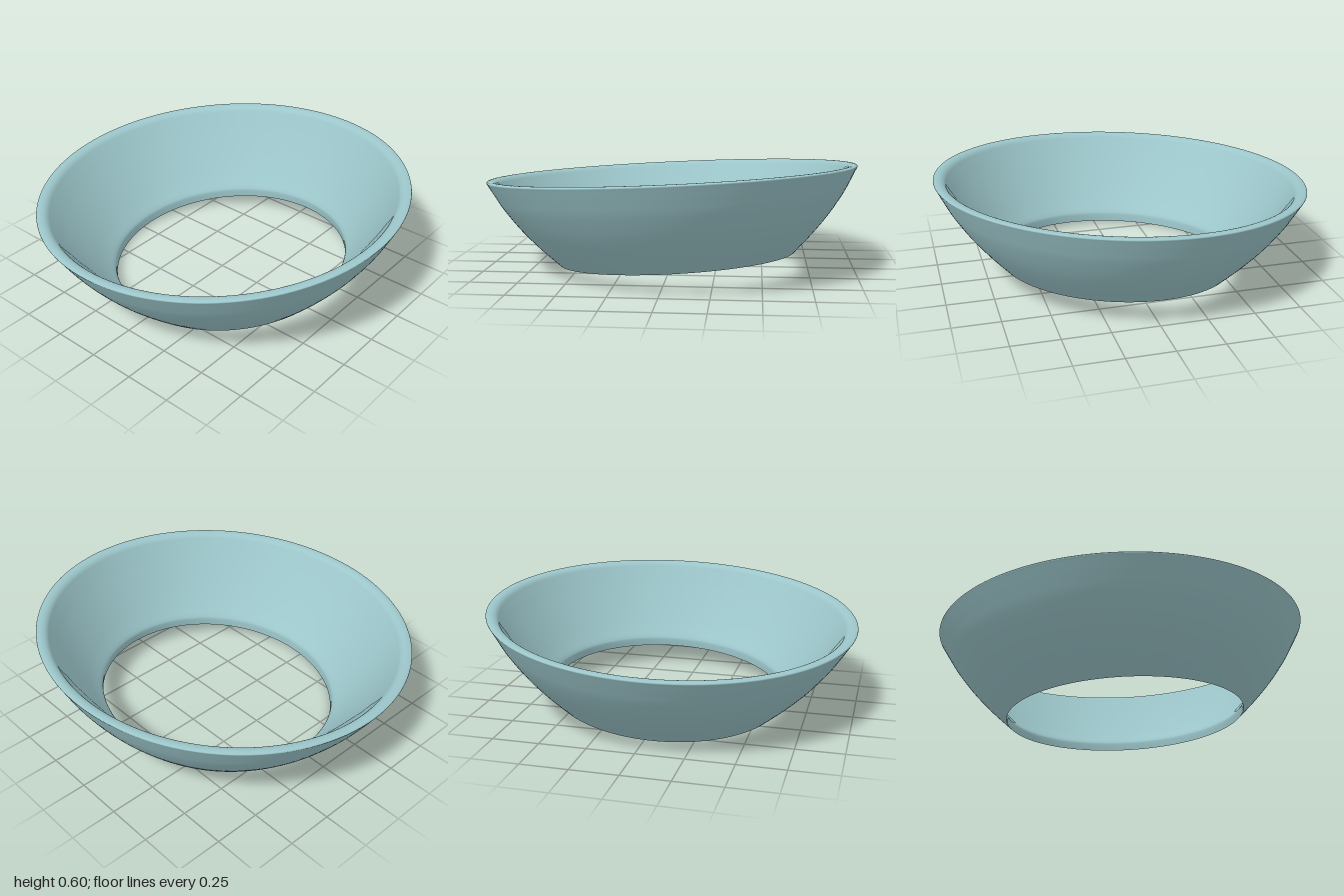
import * as THREE from 'three';
import { mergeVertices } from 'three/addons/utils/BufferGeometryUtils.js';

const HEIGHT = 0.469;

// Sample a smooth curve through a few [radius, height] points
function curve(points, count) {
  return new THREE.SplineCurve(points.map(([r, h]) => new THREE.Vector2(r, h))).getPoints(count);
}

// Revolve a profile, then lean it so the ring rises towards +x and +z
function leaningRing(profile) {
  let geometry = new THREE.LatheGeometry(profile, 128);
  geometry.deleteAttribute('uv');
  geometry.deleteAttribute('normal');
  geometry = mergeVertices(geometry, 1e-5);
  const p = geometry.attributes.position;
  for (let i = 0; i < p.count; i++) {
    const x = p.getX(i), h = p.getY(i), z = p.getZ(i);
    const t = h / HEIGHT;
    const slope = THREE.MathUtils.lerp(0.066, 0.051, t);
    const shift = 0.034 * (1 - t);
    p.setXYZ(i, x + shift, 0.06 + h + slope * (x + z), z + shift);
  }
  geometry.computeVertexNormals();
  return geometry;
}

export function createModel() {
  const model = new THREE.Group();
  model.name = 'flaredRing';

  const glaze = new THREE.MeshStandardMaterial({ color: 0x9cc6ca, side: THREE.DoubleSide });
  glaze.name = 'paleTeal';

  const add = (name, profile) => {
    const mesh = new THREE.Mesh(leaningRing(profile), glaze);
    mesh.name = name;
    model.add(mesh);
  };

  // Outer wall, steepening gradually up to the rounded lip
  const outer = curve([[0.642, 0], [0.743, 0.1], [0.834, 0.202], [0.913, 0.309], [0.957, 0.382], [0.996, 0.452]], 30);
  const lip = curve([[0.996, 0.452], [1.0, 0.46], [0.994, 0.466], [0.975, 0.468], [0.955, 0.463], [0.94, 0.452], [0.929, 0.436]], 18);
  add('outerWall', [...outer, ...lip.slice(1)]);

  // Inner wall, nearly straight, turning upright around the bottom opening
  const inner = curve([[0.929, 0.436], [0.906, 0.401], [0.862, 0.335], [0.787, 0.23], [0.71, 0.13], [0.658, 0.07]], 30);
  const opening = curve([[0.658, 0.07], [0.647, 0.055], [0.642, 0.04], [0.642, 0]], 9);
  add('innerWall', [...inner, ...opening.slice(1)]);

  return model;
}
